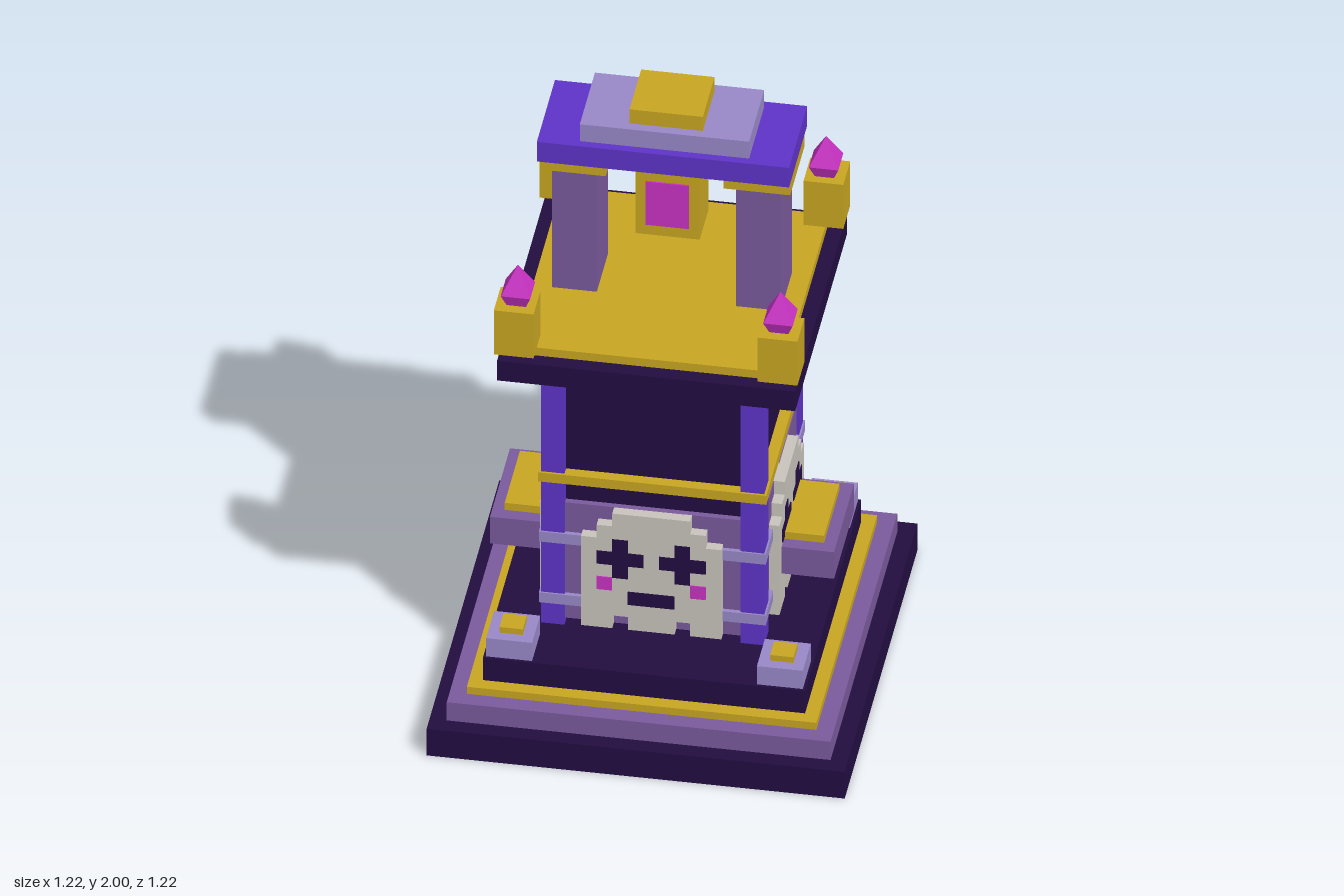
import * as THREE from 'three';

const mat = (name, color, flatShading = false) => {
  const m = new THREE.MeshStandardMaterial({ color });
  m.name = name;
  m.flatShading = flatShading;
  return m;
};

export function createModel() {
  const dark = mat('dark indigo', 0x220d40);
  const purple = mat('dusty purple', 0x7a5a9c);
  const gold = mat('gold', 0xc8a622);
  const violet = mat('violet', 0x5e33c8);
  const lavender = mat('lavender', 0x9888c8);
  const bone = mat('bone', 0xc8c4bc);
  const magenta = mat('magenta', 0xc832c4, true);

  const root = new THREE.Group();
  root.name = 'shrineTower';

  // Box given by its extents on each axis
  const box = (parent, name, m, x0, x1, y0, y1, z0, z1) => {
    const mesh = new THREE.Mesh(new THREE.BoxGeometry(x1 - x0, y1 - y0, z1 - z0), m);
    mesh.position.set((x0 + x1) / 2, (y0 + y1) / 2, (z0 + z1) / 2);
    mesh.name = name;
    parent.add(mesh);
    return mesh;
  };
  // Box centred on the vertical axis, given by half sizes
  const slab = (name, m, hx, y0, y1, hz = hx) => box(root, name, m, -hx, hx, y0, y1, -hz, hz);

  // Stepped base
  slab('baseStep', dark, 0.61, 0, 0.095);
  slab('secondStep', purple, 0.56, 0.095, 0.16);
  slab('baseTrim', gold, 0.51, 0.16, 0.185);
  slab('plinth', dark, 0.47, 0.185, 0.265);

  // Tower body with wrapping bands
  slab('towerCore', dark, 0.3, 0.31, 1.235);
  slab('lowerBand', lavender, 0.331, 0.38, 0.415);
  slab('upperBand', lavender, 0.331, 0.597, 0.633);
  slab('towerTrim', gold, 0.333, 0.813, 0.845);

  // Roof platform
  slab('roofSlab', dark, 0.435, 1.235, 1.305);
  slab('roofFloor', gold, 0.39, 1.305, 1.333);

  // Parts repeated at the four corners
  for (const sx of [-1, 1]) for (const sz of [-1, 1]) {
    const corner = (name, m, c, h, y0, y1) =>
      box(root, name, m, sx * c - h, sx * c + h, y0, y1, sz * c - h, sz * c + h);
    corner('footBlock', lavender, 0.395, 0.067, 0.265, 0.33);
    corner('footCap', gold, 0.395, 0.034, 0.33, 0.35);
    corner('cornerPost', violet, 0.2915, 0.0345, 0.305, 1.235);
    corner('roofPedestal', gold, 0.385, 0.058, 1.333, 1.49);
    const gem = new THREE.Group();
    gem.name = 'gem';
    const s = Math.SQRT2;
    const parts = [['gemBase', 0.043, 0.028, 1.49, 1.53], ['gemTip', 0, 0.043, 1.53, 1.617]];
    for (const [name, top, bottom, y0, y1] of parts) {
      const g = new THREE.CylinderGeometry(top * s, bottom * s, y1 - y0, 4);
      g.rotateY(Math.PI / 4);
      const mesh = new THREE.Mesh(g, magenta);
      mesh.name = name;
      mesh.position.set(sx * 0.383, (y0 + y1) / 2, sz * 0.383);
      gem.add(mesh);
    }
    root.add(gem);
  }

  // Pixel mask: # bone, E dark, M magenta, . empty
  const rows = [
    '..#####..',
    '.#######.',
    '##E###E##',
    '#EEE#EEE#',
    '##E###E##',
    '#M#####M#',
    '###EEE###',
    '#########',
    '##.###.##',
  ];
  const cell = 0.0455, top = 0.737, left = -4.5 * cell;
  const runs = (row, test, make) => {
    for (let a = 0; a < row.length; a++) {
      if (!test(row[a])) continue;
      let b = a;
      while (b < row.length && test(row[b])) b++;
      make(left + a * cell, left + b * cell);
      a = b;
    }
  };
  for (let side = 0; side < 4; side++) {
    const face = new THREE.Group();
    face.name = 'maskPanel';
    face.rotation.y = side * Math.PI / 2;
    box(face, 'backPanel', purple, -0.257, 0.257, 0.325, 0.737, 0.29, 0.318);
    rows.forEach((row, i) => {
      const y1 = top - i * cell, y0 = y1 - cell;
      runs(row, c => c !== '.', (a, b) => box(face, 'mask', bone, a, b, y0, y1, 0.31, 0.349));
      runs(row, c => c === 'E', (a, b) => box(face, 'eyesAndMouth', dark, a, b, y0, y1, 0.347, 0.352));
      runs(row, c => c === 'M', (a, b) => box(face, 'cheek', magenta, a, b, y0, y1, 0.347, 0.352));
    });
    root.add(face);
  }

  // Side ledges and the gate columns, mirrored
  for (const s of [-1, 1]) {
    const pair = (name, m, a, b, y0, y1, hz) =>
      box(root, name, m, Math.min(s * a, s * b), Math.max(s * a, s * b), y0, y1, -hz, hz);
    pair('sideLedge', purple, 0.31, 0.502, 0.45, 0.545, 0.168);
    pair('ledgeTop', gold, 0.31, 0.466, 0.545, 0.57, 0.128);
    pair('gateColumn', purple, 0.203, 0.334, 1.333, 1.77, 0.094);
    pair('columnCapital', gold, 0.172, 0.366, 1.77, 1.82, 0.122);
  }

  // Gate lintel and crown
  slab('lintel', violet, 0.368, 1.82, 1.89, 0.152);
  slab('crownStep', lavender, 0.247, 1.89, 1.95, 0.127);
  slab('crownTop', gold, 0.107, 1.95, 2, 0.098);

  // Floating tablet with a coloured front
  slab('tablet', gold, 0.094, 1.543, 1.768, 0.075);
  box(root, 'tabletInset', magenta, -0.063, 0.063, 1.58, 1.734, 0.073, 0.08);

  return root;
}
